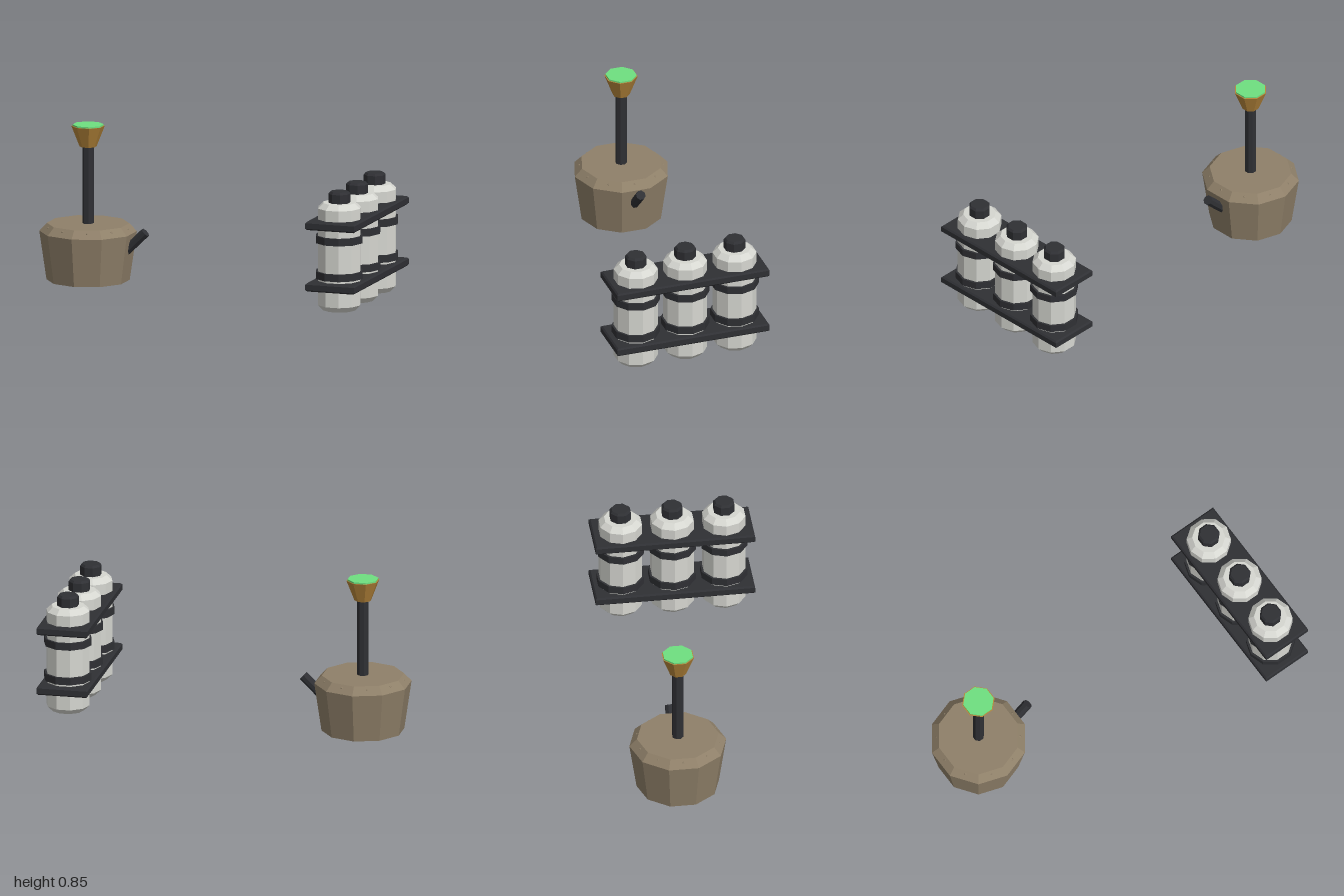
import * as THREE from 'three';

const mat = (color) => new THREE.MeshStandardMaterial({ color, flatShading: true });

export function createModel() {
  const root = new THREE.Group();
  const dark = mat(0x2f3034), steel = mat(0xd6d7d1), tan = mat(0x8f8069);
  const brass = mat(0xb5853a), green = mat(0x6fe080);

  const add = (parent, name, geometry, material, x = 0, y = 0, z = 0) => {
    const mesh = new THREE.Mesh(geometry, material);
    mesh.name = name;
    mesh.position.set(x, y, z);
    parent.add(mesh);
    return mesh;
  };
  // faceted solid of revolution from [radius, height] pairs, bottom to top
  const turned = (profile, sides, turn = 0) =>
    new THREE.LatheGeometry(profile.map(([r, y]) => new THREE.Vector2(r, y)), sides).rotateY(turn);

  // ---- Pot with a plunger ----
  const pot = new THREE.Group();
  pot.name = 'plungerPot';
  pot.position.set(-0.75, 0, -0.18);
  root.add(pot);

  add(pot, 'potBody', turned([[0, 0], [0.224, 0], [0.263, 0.267], [0.222, 0.31], [0, 0.31]], 10), tan);
  const eighth = Math.PI / 8;
  add(pot, 'plungerRod', turned([[0, 0.29], [0.031, 0.29], [0.031, 0.74], [0, 0.74]], 8, eighth), dark);
  add(pot, 'plungerHead', turned([[0, 0.73], [0.046, 0.73], [0.09, 0.843], [0, 0.843]], 8, eighth), brass);
  add(pot, 'plungerButton', turned([[0, 0.835], [0.084, 0.835], [0.084, 0.851], [0, 0.851]], 8, eighth), green);

  // small rivets on the bevelled rim, one per face
  for (let i = 0; i < 10; i++) {
    const a = (i + 0.5) * Math.PI / 5;
    add(pot, 'rimRivet', new THREE.IcosahedronGeometry(0.009, 0), tan,
      Math.sin(a) * 0.222, 0.291, Math.cos(a) * 0.222);
  }

  // slanted spout
  const from = new THREE.Vector3(0.2, 0.155, 0), to = new THREE.Vector3(0.328, 0.28, 0);
  const axis = to.clone().sub(from);
  const spout = add(pot, 'spout', new THREE.CylinderGeometry(0.027, 0.027, axis.length(), 8).rotateY(eighth), dark);
  spout.position.copy(from).add(to).multiplyScalar(0.5);
  spout.quaternion.setFromUnitVectors(new THREE.Vector3(0, 1, 0), axis.normalize());

  // ---- Rack of three bottles ----
  const rack = new THREE.Group();
  rack.name = 'bottleRack';
  rack.position.set(0.855, 0, 0.007);
  root.add(rack);

  const bottleShape = turned([[0, 0.03], [0.089, 0.03], [0.119, 0.06], [0.119, 0.59], [0.089, 0.618], [0, 0.618]], 10, Math.PI / 2);
  const capShape = turned([[0, 0.61], [0.059, 0.61], [0.059, 0.667], [0.049, 0.679], [0, 0.679]], 8, eighth);
  const bandShape = turned([[0.11, -0.02], [0.131, -0.02], [0.131, 0.02], [0.11, 0.02]], 10, Math.PI / 2);
  for (const z of [0.281, 0, -0.281]) {
    const bottle = new THREE.Group();
    bottle.name = 'bottle';
    bottle.position.z = z;
    rack.add(bottle);
    add(bottle, 'bottleBody', bottleShape, steel);
    add(bottle, 'bottleCap', capShape, dark);
    for (const y of [0.225, 0.421]) add(bottle, 'bottleBand', bandShape, dark, 0, y);
  }

  // chamfered plates holding the bottles
  const bevel = 0.008, w = 0.28 / 2 - bevel, l = 0.866 / 2 - bevel, depth = 0.046 - 2 * bevel;
  const outline = new THREE.Shape([
    new THREE.Vector2(-w, -l), new THREE.Vector2(w, -l), new THREE.Vector2(w, l), new THREE.Vector2(-w, l),
  ]);
  const plate = new THREE.ExtrudeGeometry(outline, {
    depth, bevelEnabled: true, bevelSize: bevel, bevelThickness: bevel, bevelSegments: 1,
  }).translate(0, 0, -depth / 2).rotateX(-Math.PI / 2);
  for (const y of [0.17, 0.507]) add(rack, 'rackPlate', plate, dark, 0, y);

  return root;
}
